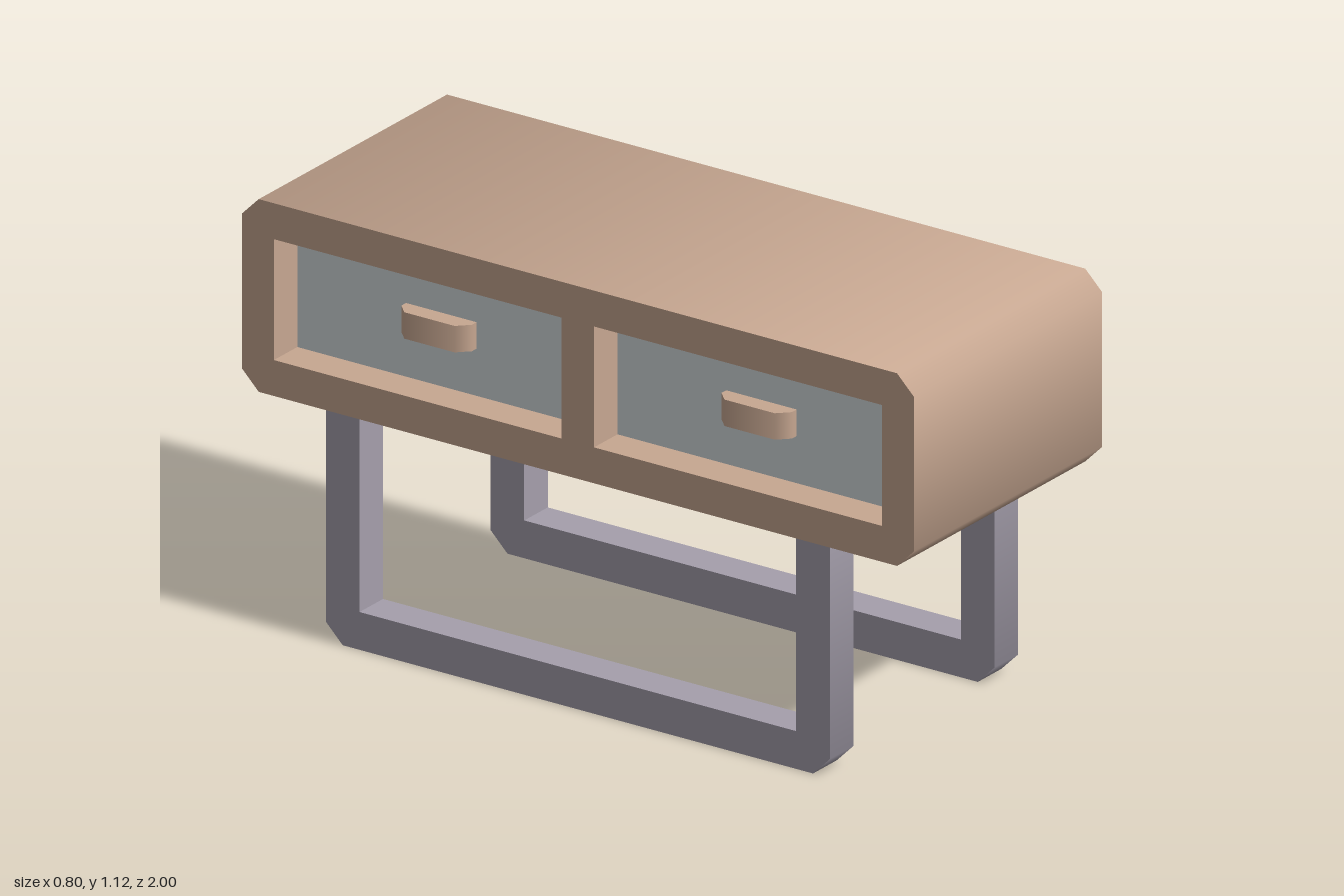
import * as THREE from 'three';
import { mergeGeometries } from 'three/addons/utils/BufferGeometryUtils.js';

// Walls along a closed outline, from depth w0 to w1; shallow corners are shaded smooth.
function walls(pts, w0, w1) {
  const n = pts.length, pos = [], nor = [];
  const normals = pts.map(([x, y], i) => {
    const [x2, y2] = pts[(i + 1) % n];
    return new THREE.Vector2(y2 - y, x - x2).normalize();
  });
  const blend = (a, b) => (a.dot(b) > 0.6 ? a.clone().add(b).normalize() : a);
  for (let i = 0; i < n; i++) {
    const p = pts[i], q = pts[(i + 1) % n];
    const np = blend(normals[i], normals[(i + n - 1) % n]);
    const nq = blend(normals[i], normals[(i + 1) % n]);
    for (const [c, m, w] of [[p, np, w0], [q, nq, w0], [q, nq, w1], [p, np, w0], [q, nq, w1], [p, np, w1]]) {
      pos.push(c[0], c[1], w);
      nor.push(m.x, m.y, 0);
    }
  }
  const g = new THREE.BufferGeometry();
  g.setAttribute('position', new THREE.Float32BufferAttribute(pos, 3));
  g.setAttribute('normal', new THREE.Float32BufferAttribute(nor, 3));
  return g;
}

// Flat end face, with optional openings; back = true turns it to face -w.
function cap(pts, w, back = false, holes = []) {
  const flip = back ? -1 : 1;
  const vec = (list) => list.map(([x, y]) => new THREE.Vector2(x * flip, y));
  const shape = new THREE.Shape(vec(pts));
  holes.forEach((h) => shape.holes.push(new THREE.Path(vec(h))));
  const g = new THREE.ShapeGeometry(shape).toNonIndexed();
  g.deleteAttribute('uv');
  if (back) g.rotateY(Math.PI);
  return g.translate(0, 0, w);
}

// Prism from w0 to w1, with pockets of a given depth cut into its w1 face.
function prism(pts, w0, w1, pockets = [], depth = 0) {
  return mergeGeometries([
    walls(pts, w0, w1),
    cap(pts, w0, true),
    cap(pts, w1, false, pockets),
    ...pockets.map((h) => walls(h, w1 - depth, w1)),
  ]);
}

export function createModel() {
  const model = new THREE.Group();
  model.name = 'cabinet';
  const wood = new THREE.MeshStandardMaterial({ color: 0xc7a791 });
  const metal = new THREE.MeshStandardMaterial({ color: 0xa59fac });
  const panel = new THREE.MeshStandardMaterial({ color: 0xd5dcde });
  wood.name = 'wood';
  metal.name = 'metal';
  panel.name = 'drawerGrey';

  const add = (name, geometry, material) => {
    const mesh = new THREE.Mesh(geometry, material);
    mesh.name = name;
    model.add(mesh);
    return mesh;
  };

  // Body: long chamfered box with two drawer openings on the -x side
  const y0 = 0.61, y1 = 1.12, c = 0.05;
  const outline = [
    [-1 + c, y0], [1 - c, y0], [1, y0 + c], [1, y1 - c],
    [1 - c, y1], [-1 + c, y1], [-1, y1 - c], [-1, y0 + c],
  ];
  const low = 0.705, high = 1.025, near = 0.048, far = 0.905;
  const opening = (a, b) => [[a, low], [a, high], [b, high], [b, low]];
  const body = prism(outline, -0.4, 0.4, [opening(-far, -near), opening(near, far)], 0.1);
  add('body', body.rotateY(-Math.PI / 2), wood);

  // Drawer fronts and their chamfered pulls
  const pull = [[-0.105, 0], [0.105, 0], [0.105, 0.02], [0.075, 0.05], [-0.075, 0.05], [-0.105, 0.02]];
  const pullBasis = new THREE.Matrix4().makeBasis(
    new THREE.Vector3(0, 0, 1), new THREE.Vector3(-1, 0, 0), new THREE.Vector3(0, -1, 0));
  for (const [side, s] of [['front', 1], ['back', -1]]) {
    const z = s * (near + far) / 2;
    add(side + 'Drawer', new THREE.BoxGeometry(0.008, high - low, far - near), panel)
      .position.set(-0.296, (low + high) / 2, z);
    add(side + 'DrawerHandle', prism(pull, -0.035, 0.035).applyMatrix4(pullBasis), wood)
      .position.set(-0.3, 0.865, z);
  }

  // Sled legs: a U frame under each long side
  const frame = [
    [-0.75, 0.05], [-0.7, 0], [0.7, 0], [0.75, 0.05], [0.75, y0],
    [0.65, y0], [0.65, 0.1], [-0.65, 0.1], [-0.65, y0], [-0.75, y0],
  ];
  for (const [side, s] of [['left', 1], ['right', -1]]) {
    add(side + 'LegFrame', prism(frame, -0.05, 0.05).rotateY(-Math.PI / 2), metal)
      .position.x = s * 0.35;
  }
  return model;
}
